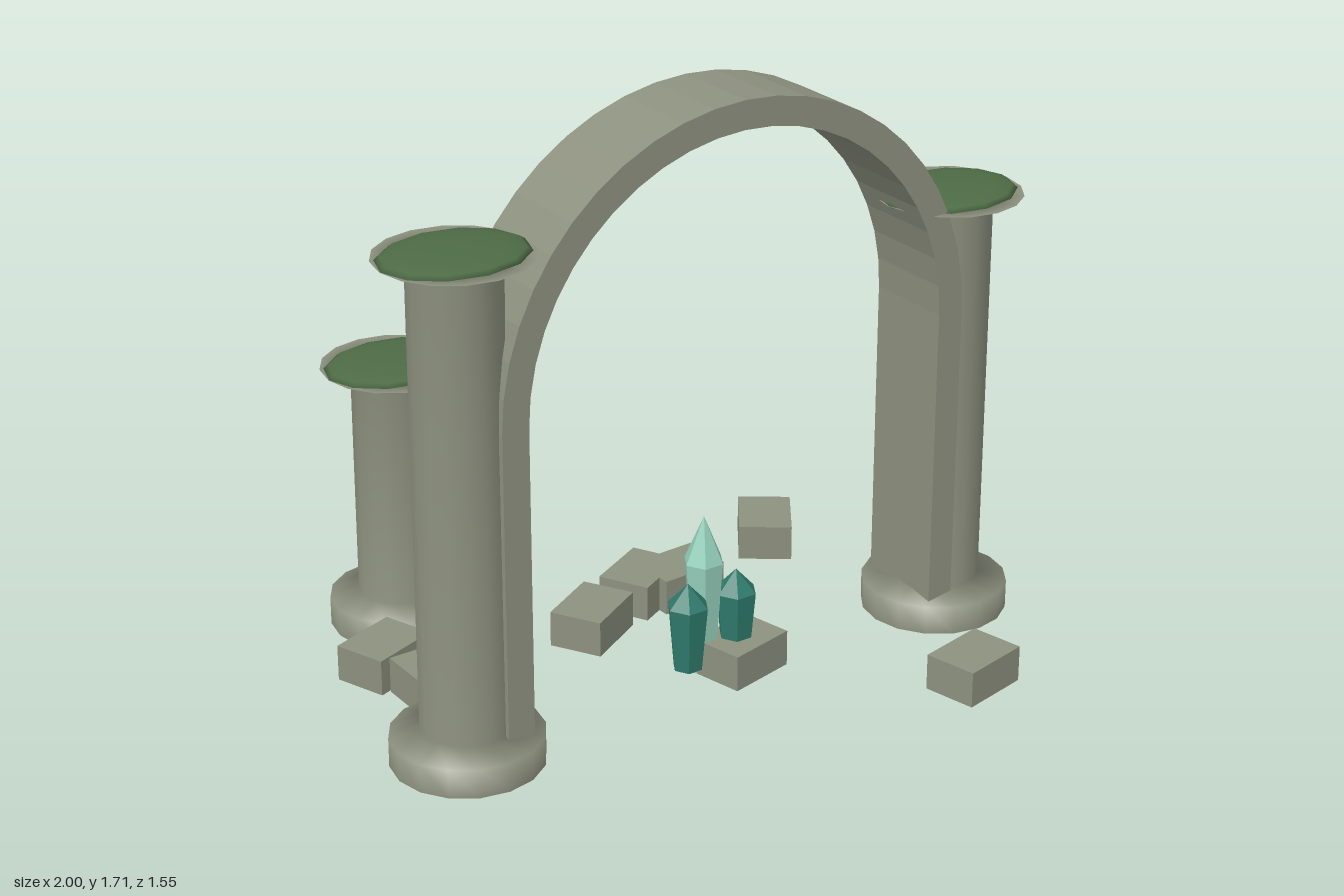
import * as THREE from 'three';

const material = (name, color, extra = {}) => {
  const m = new THREE.MeshStandardMaterial({ color, ...extra });
  m.name = name;
  return m;
};

export function createModel() {
  const root = new THREE.Group();
  root.name = 'ruinedArch';
  const stone = material('stone', 0x8d917f, { side: THREE.DoubleSide });
  const moss = material('moss', 0x4d6b45);
  const paleCrystal = material('paleCrystal', 0x94cfbc, { flatShading: true });
  const deepCrystal = material('deepCrystal', 0x2f7a6c, { flatShading: true });

  const add = (name, geometry, mat, x, y, z, parent = root) => {
    const mesh = new THREE.Mesh(geometry, mat);
    mesh.name = name;
    mesh.position.set(x, y, z);
    parent.add(mesh);
    return mesh;
  };
  const v = (x, y) => new THREE.Vector2(x, y);

  // Columns: hollow turned shaft with a foot and a flat rim, capped by moss
  const columns = [
    ['rightColumn', -0.79, 0.22, 1.425],
    ['leftColumn', 0.79, 0.22, 1.265],
    ['backColumn', -0.525, -0.57, 0.792],
  ];
  for (const [name, x, z, h] of columns) {
    const column = new THREE.Group();
    column.name = name;
    column.position.set(x, 0, z);
    root.add(column);
    const profile = [v(0.21, 0), v(0.21, 0.083), v(0.127, 0.105), v(0.125, h), v(0.21, h)];
    add('shaft', new THREE.LatheGeometry(profile, 16), stone, 0, 0, 0, column);
    const cap = add('mossCap', new THREE.SphereGeometry(1, 12, 8), moss, 0, h, 0, column);
    cap.scale.set(0.208, 0.028, 0.166);
  }

  // Arch: straight legs and a half-round top, extruded in depth
  const outer = 0.743, inner = 0.663, spring = 0.97, depth = 0.265;
  const shape = new THREE.Shape();
  shape.moveTo(outer, 0);
  shape.lineTo(outer, spring);
  shape.absarc(0, spring, outer, 0, Math.PI, false);
  shape.lineTo(-outer, 0);
  shape.lineTo(-inner, 0);
  shape.lineTo(-inner, spring);
  shape.absarc(0, spring, inner, Math.PI, 0, true);
  shape.lineTo(inner, 0);
  shape.closePath();
  const archGeometry = new THREE.ExtrudeGeometry(shape, { depth, bevelEnabled: false, curveSegments: 12 });
  add('arch', archGeometry, stone, 0, 0, 0.22 - depth / 2);

  // Fallen blocks: x, z, turn in degrees
  const blocks = [
    [-0.675, -0.127, 0],
    [-0.738, -0.31, 20],
    [-0.143, -0.165, 30],
    [0.092, -0.266, 28],
    [0.203, -0.231, 3],
    [0.607, -0.358, 55],
    [0.563, 0.672, 12.5],
    [0.09, 0.235, 13],
  ];
  const blockGeometry = new THREE.BoxGeometry(0.21, 0.105, 0.157);
  blocks.forEach(([x, z, turn], i) => {
    const block = add(`fallenBlock${i + 1}`, blockGeometry, stone, x, 0.0525, z);
    block.rotation.y = THREE.MathUtils.degToRad(turn);
  });

  // Crystals: six-sided, flaring upward to a pointed tip
  const crystal = (name, mat, x, z, base, shoulder, tip, rBase, rShoulder) => {
    const profile = [v(0, base), v(rBase, base), v(rShoulder, shoulder), v(0, tip)];
    add(name, new THREE.LatheGeometry(profile, 6), mat, x, 0, z).rotation.y = Math.PI / 6;
  };
  crystal('tallCrystal', paleCrystal, 0, 0.18, 0, 0.34, 0.475, 0.034, 0.058);
  for (const side of [-1, 1]) {
    crystal('smallCrystal', deepCrystal, side * 0.081, 0.22, 0.052, 0.242, 0.308, 0.043, 0.06);
  }
  return root;
}
